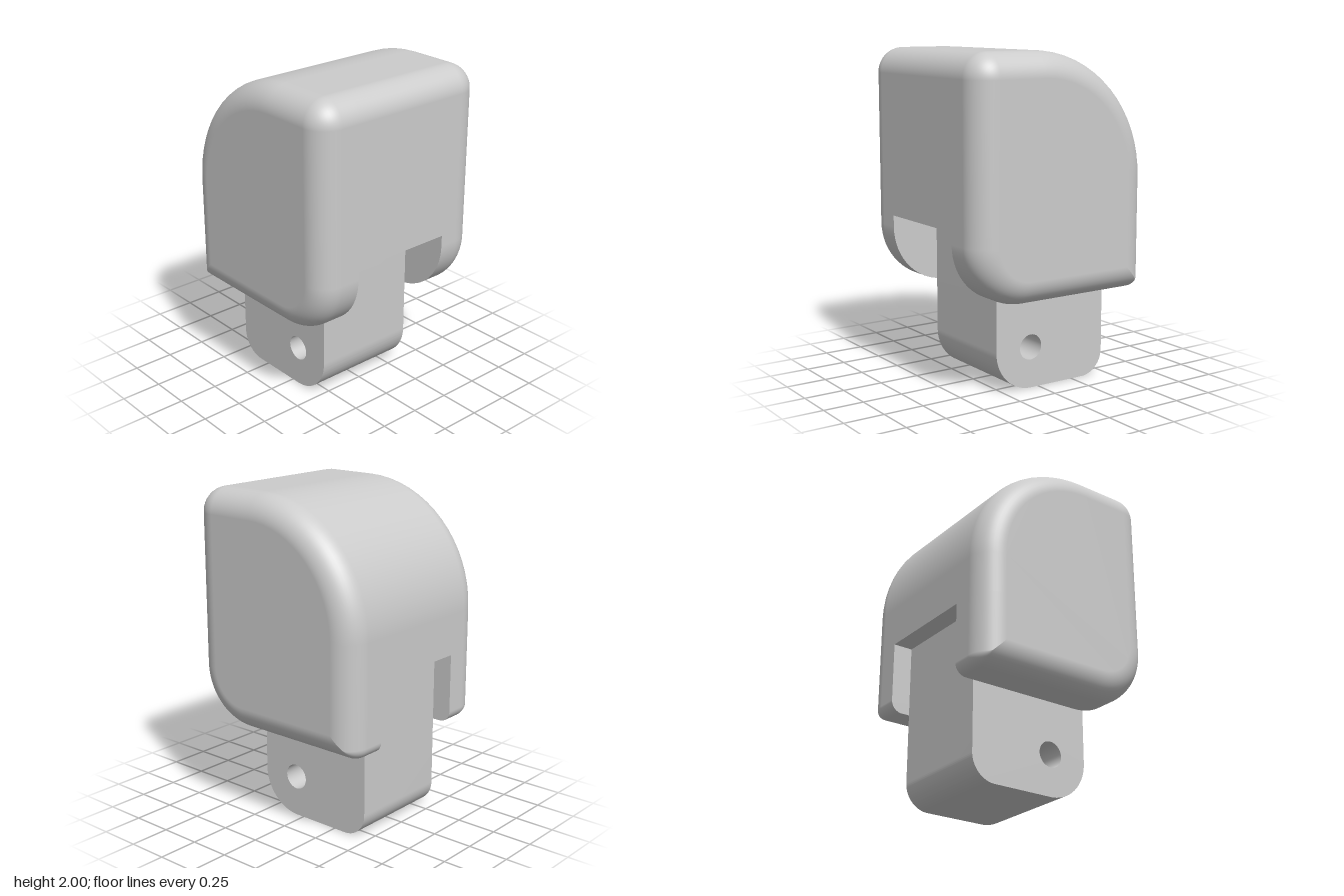
import * as THREE from 'three';
import { toCreasedNormals } from 'three/addons/utils/BufferGeometryUtils.js';

const HALF = 0.6, BOTTOM = 0.57, TOP = 2, EDGE = 0.15; // housing
const SLOT = 0.33, SLOT_TOP = 1; // slot half width and ceiling height
const ARC = 16;

// Side profile in (u = -z, v = y), inset by d, counter-clockwise from +x.
function profile(d) {
  const corners = [
    [HALF, BOTTOM, 0.07, -1, 1], // back bottom
    [HALF, TOP, 0.75, -1, -1], // back top
    [-HALF, TOP, 0.15, 1, -1], // front top
    [-HALF, BOTTOM, 0.36, 1, 1], // front bottom
  ];
  const pts = [];
  corners.forEach(([u, v, r, su, sv], c) => {
    const inset = Math.max(r, d), radius = Math.max(r - d, 0);
    for (let k = 0; k <= ARC; k++) {
      const a = (c - 1 + k / ARC) * Math.PI / 2;
      const nu = Math.cos(a), nv = Math.sin(a);
      pts.push({ u: u + su * inset + radius * nu, v: v + sv * inset + radius * nv, nu, nv });
    }
    // extra point where the slot ceiling meets the back and front faces
    if (c === 0) pts.push({ u: HALF - d, v: SLOT_TOP, nu: 1, nv: 0 });
    if (c === 2) pts.push({ u: -HALF + d, v: SLOT_TOP, nu: -1, nv: 0 });
  });
  return pts;
}

// Flat side face at x, facing dir (+1 or -1)
function sideFace(pts, x, dir) {
  const shape = new THREE.Shape(pts.map((p) => new THREE.Vector2(p.u * dir, p.v)));
  return new THREE.ShapeGeometry(shape).rotateY(dir * Math.PI / 2).translate(x, 0, 0);
}

// Rounded skin lofted along x, left open across the slot
function housingSkin() {
  const half = [];
  for (let k = 0; k <= 12; k++) {
    const a = (k / 12) * Math.PI / 2, c = Math.cos(a), s = Math.sin(a);
    half.push({ x: HALF - EDGE + EDGE * c, d: EDGE * (1 - s), nx: c, s });
  }
  half.push({ x: SLOT, d: 0, nx: 0, s: 1 });
  const rings = [...half.map((r) => ({ ...r, x: -r.x, nx: -r.nx })), ...half.slice().reverse()];
  const pos = [], nor = [], idx = [];
  const base = profile(0), n = base.length;
  for (const r of rings) {
    for (const p of profile(r.d)) {
      pos.push(r.x, p.v, -p.u);
      nor.push(r.nx, p.nv * r.s, -p.nu * r.s);
    }
  }
  for (let i = 0; i < rings.length - 1; i++) {
    const overSlot = i === half.length - 1;
    for (let j = 0; j < n; j++) {
      const k = (j + 1) % n;
      if (overSlot && Math.max(base[j].v, base[k].v) < SLOT_TOP + 1e-4) continue;
      const a = i * n + j, b = i * n + k;
      idx.push(a, b, b + n, a, b + n, a + n);
    }
  }
  const geo = new THREE.BufferGeometry();
  geo.setAttribute('position', new THREE.Float32BufferAttribute(pos, 3));
  geo.setAttribute('normal', new THREE.Float32BufferAttribute(nor, 3));
  geo.setIndex(idx);
  return geo;
}

// Mounting tab with rounded lower corners and a pin hole
function tabGeometry() {
  const f = -0.3, b = 0.48, rf = 0.25, rb = 0.15;
  const shape = new THREE.Shape();
  shape.moveTo(b, SLOT_TOP);
  shape.lineTo(f, SLOT_TOP);
  shape.lineTo(f, rf);
  shape.absarc(f + rf, rf, rf, Math.PI, Math.PI * 1.5, false);
  shape.lineTo(b - rb, 0);
  shape.absarc(b - rb, rb, rb, -Math.PI / 2, 0, false);
  shape.closePath();
  const hole = new THREE.Path();
  hole.absarc(-0.055, 0.25, 0.077, 0, Math.PI * 2, true);
  shape.holes.push(hole);
  const geo = new THREE.ExtrudeGeometry(shape, { depth: SLOT * 2, bevelEnabled: false, curveSegments: 24 });
  return toCreasedNormals(geo.rotateY(Math.PI / 2).translate(-SLOT, 0, 0), 0.6);
}

export function createModel() {
  const material = new THREE.MeshStandardMaterial({ color: 0xcccccc });
  const add = (parent, name, geometry) => {
    const mesh = new THREE.Mesh(geometry, material);
    mesh.name = name;
    parent.add(mesh);
  };
  const model = new THREE.Group();
  model.name = 'model';
  const housing = new THREE.Group();
  housing.name = 'housing';
  model.add(housing);

  add(housing, 'housingSkin', housingSkin());
  const cheek = profile(0).filter((p) => p.v < SLOT_TOP + 1e-4);
  for (const [side, s] of [['left', 1], ['right', -1]]) {
    add(housing, side + 'Face', sideFace(profile(EDGE), s * HALF, s));
    add(housing, side + 'SlotWall', sideFace(cheek, s * SLOT, -s));
  }
  const ceiling = new THREE.PlaneGeometry(SLOT * 2, HALF * 2).rotateX(Math.PI / 2);
  add(housing, 'slotCeiling', ceiling.translate(0, SLOT_TOP, 0));

  add(model, 'mountingTab', tabGeometry());
  return model;
}
